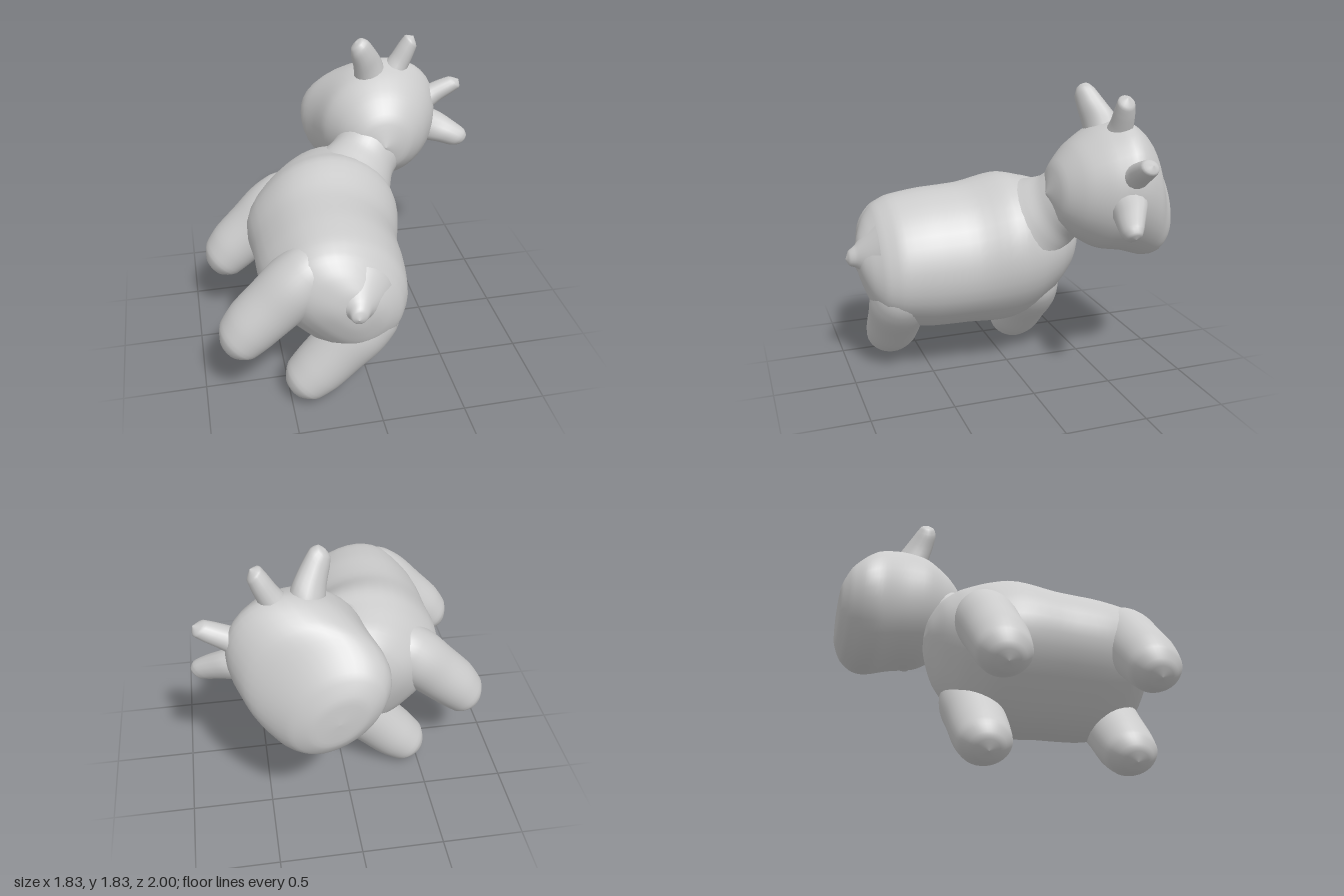
import * as THREE from 'three';

const V = (x, y, z) => new THREE.Vector3(x, y, z);
const X = V(1, 0, 0), Y = V(0, 1, 0), Z = V(0, 0, 1);
const material = new THREE.MeshStandardMaterial({ color: 0xcccccc });

// Smooth closed loft through stations [x, y, z, radiusA, radiusB];
// the stations advance along A x B so that the faces point outward.
// power squares off the lower half of each section, taper narrows its top.
function loft(name, stations, A, B, { rows = 32, sides = 36, power = 2, taper = 0 } = {}) {
  const centres = new THREE.CatmullRomCurve3(stations.map(s => V(s[0], s[1], s[2])));
  const radii = new THREE.CatmullRomCurve3(stations.map(s => V(s[3], s[4], 0)));
  const positions = [], index = [];
  for (let i = 0; i <= rows; i++) {
    const c = centres.getPoint(i / rows), r = radii.getPoint(i / rows);
    for (let j = 0; j < sides; j++) {
      const t = (j / sides) * Math.PI * 2, cos = Math.cos(t), sin = Math.sin(t);
      const n = sin < 0 ? power : 2;
      const k = (Math.abs(cos) ** n + Math.abs(sin) ** n) ** (-1 / n);
      const p = c.clone()
        .addScaledVector(A, Math.max(r.x, 0) * cos * k * (1 - taper * sin))
        .addScaledVector(B, Math.max(r.y, 0) * sin * k);
      positions.push(p.x, p.y, p.z);
      if (i === rows) continue;
      const a = i * sides + j, b = i * sides + (j + 1) % sides;
      index.push(a, b, a + sides, b, b + sides, a + sides);
    }
  }
  const geometry = new THREE.BufferGeometry();
  geometry.setAttribute('position', new THREE.Float32BufferAttribute(positions, 3));
  geometry.setIndex(index);
  geometry.computeVertexNormals();
  const mesh = new THREE.Mesh(geometry, material);
  mesh.name = name;
  return mesh;
}

export function createModel() {
  const model = new THREE.Group();
  model.name = 'cow';

  // Barrel body with a flat belly, chest to broad rump
  model.add(loft('body', [
    [0, 0.6, -0.475, 0, 0],
    [0, 0.59, -0.455, 0.12, 0.12],
    [0, 0.55, -0.4, 0.25, 0.25],
    [0, 0.5, -0.3, 0.35, 0.37],
    [0, 0.45, -0.15, 0.43, 0.44],
    [0, 0.45, 0, 0.465, 0.46],
    [0, 0.41, 0.25, 0.45, 0.4],
    [0, 0.4, 0.5, 0.44, 0.39],
    [0, 0.41, 0.7, 0.41, 0.34],
    [0, 0.415, 0.8, 0.36, 0.27],
    [0, 0.42, 0.87, 0.26, 0.19],
    [0, 0.44, 0.92, 0.12, 0.1],
    [0, 0.45, 0.94, 0, 0],
  ], X, Y, { rows: 52, power: 2.8 }));

  // Short waisted neck, leaning up and forward
  model.add(loft('neck', [
    [0, 0.5, -0.05, 0, 0],
    [0, 0.5, -0.06, 0.34, 0.38],
    [0, 0.65, -0.14, 0.3, 0.34],
    [0, 0.78, -0.22, 0.235, 0.26],
    [0, 0.88, -0.29, 0.2, 0.225],
    [0, 0.98, -0.36, 0.2, 0.235],
    [0, 1.06, -0.42, 0, 0],
  ], V(0, 0.57, 0.82), X));

  // Head, broad muzzle to back of skull
  model.add(loft('head', [
    [0, 0.85, -1.0, 0, 0],
    [0, 0.85, -0.99, 0.18, 0.12],
    [0, 0.865, -0.94, 0.3, 0.21],
    [0, 0.9, -0.86, 0.37, 0.29],
    [0, 0.99, -0.75, 0.4, 0.4],
    [0, 1.08, -0.6, 0.39, 0.43],
    [0, 1.08, -0.45, 0.37, 0.38],
    [0, 1.07, -0.3, 0.28, 0.28],
    [0, 1.05, -0.2, 0.17, 0.17],
    [0, 1.04, -0.15, 0, 0],
  ], X, Y, { rows: 44, taper: 0.05 }));

  // Small tail nub
  model.add(loft('tail', [
    [0, 0.48, 0.82, 0.2, 0.2],
    [0, 0.475, 0.89, 0.13, 0.12],
    [0, 0.465, 0.94, 0.07, 0.07],
    [0, 0.45, 0.98, 0.045, 0.045],
    [0, 0.44, 1.0, 0, 0],
  ], X, Y, { rows: 20, sides: 24 }));

  for (const side of [-1, 1]) {
    const label = side > 0 ? 'Left' : 'Right';

    // Stout legs, running up into the shoulder and hip
    for (const [name, z, lift] of [['frontLeg', -0.19, 0], ['hindLeg', 0.69, 0.03]]) {
      model.add(loft(name + label, [
        [0.26, -0.33, 0, 0, 0],
        [0.26, -0.305, 0, 0.09, 0.08],
        [0.265, -0.23, 0, 0.155, 0.14],
        [0.27, -0.1, 0, 0.17, 0.165],
        [0.265, 0.08, 0, 0.175, 0.175],
        [0.26, 0.25, 0, 0.185, 0.185],
        [0.24, 0.4, 0, 0.165, 0.18],
        [0.2, 0.52, 0, 0.11, 0.14],
        [0.17, 0.6, 0, 0, 0],
      ].map(([x, y, dz, a, b]) => [x * side, y + lift, z + dz, a, b]), Z, X));
    }

    // Short blunt horns, flared at the root
    model.add(loft('horn' + label, [
      [0.14, 1.36, -0.55, 0.09, 0.09],
      [0.17, 1.46, -0.55, 0.072, 0.072],
      [0.2, 1.55, -0.545, 0.063, 0.063],
      [0.22, 1.61, -0.54, 0.052, 0.052],
      [0.23, 1.645, -0.54, 0, 0],
    ].map(([x, ...rest]) => [x * side, ...rest]), Z, X, { rows: 20, sides: 16 }));

    // Slightly flattened blunt ears reaching out and back
    const ear = [
      [0.2, 1.23, -0.54, 0.13, 0.12],
      [0.3, 1.28, -0.52, 0.12, 0.105],
      [0.4, 1.33, -0.475, 0.092, 0.085],
      [0.48, 1.36, -0.445, 0.074, 0.065],
      [0.52, 1.37, -0.44, 0.048, 0.042],
      [0.535, 1.375, -0.44, 0, 0],
    ].map(([x, ...rest]) => [x * side, ...rest]);
    model.add(loft('ear' + label, side > 0 ? ear : ear.reverse(), Y, Z, { rows: 20, sides: 16 }));
  }

  // The animal is rolled on its long axis
  model.rotation.z = -Math.PI / 4;
  model.position.set(-0.46, 0.46, 0);
  const root = new THREE.Group();
  root.name = 'rolledCow';
  root.add(model);
  return root;
}
